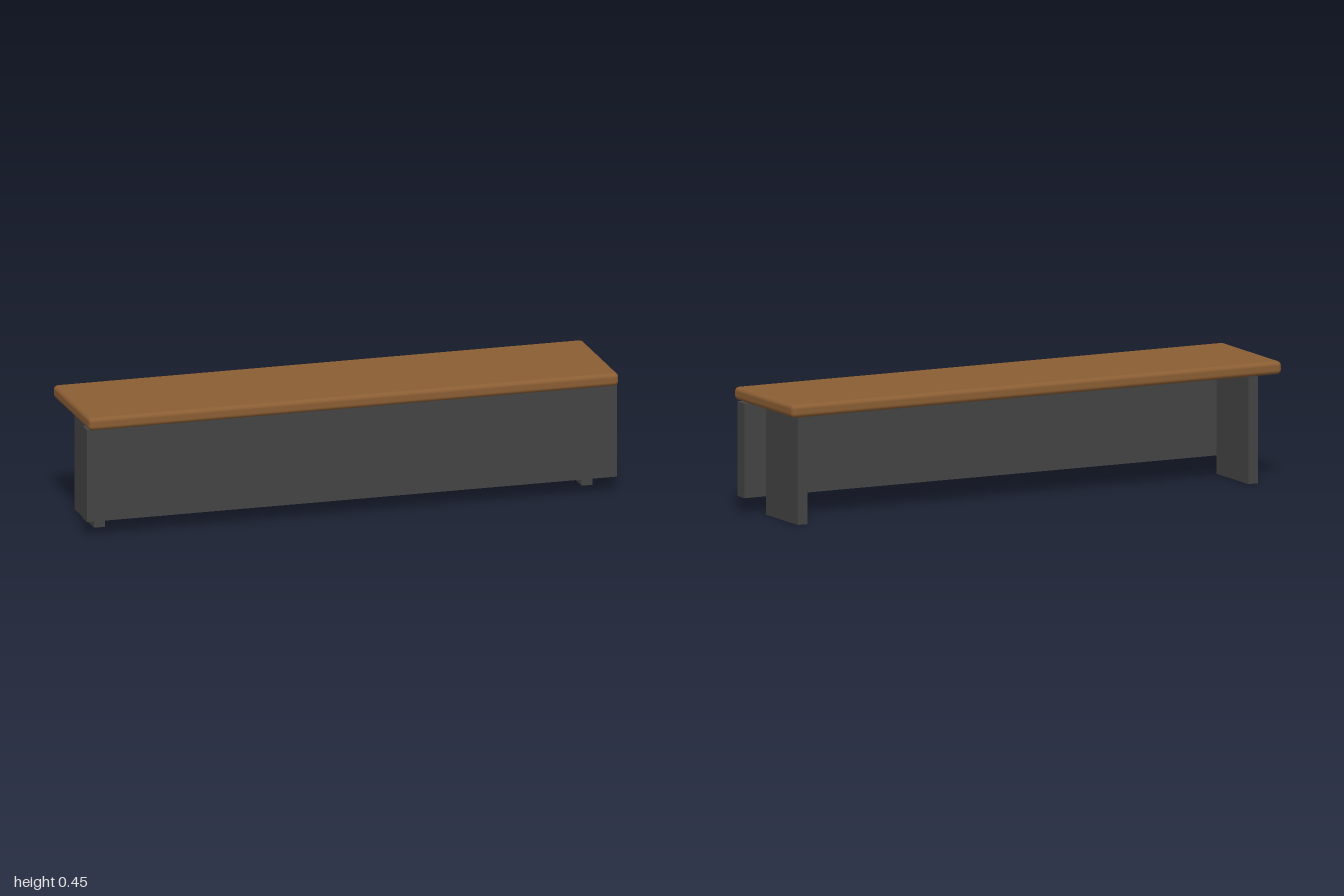
import * as THREE from 'three';
import { RoundedBoxGeometry } from 'three/addons/geometries/RoundedBoxGeometry.js';

export function createModel() {
  const group = new THREE.Group();
  group.name = 'bench';

  const wood = new THREE.MeshStandardMaterial({ color: 0x8b5e34 });
  wood.name = 'brown wood';
  const charcoal = new THREE.MeshStandardMaterial({ color: 0x444444 });
  charcoal.name = 'charcoal';

  const add = (name, geometry, material, x, y, z) => {
    const mesh = new THREE.Mesh(geometry, material);
    mesh.name = name;
    mesh.position.set(x, y, z);
    group.add(mesh);
  };

  // Seat slab with softened edges
  add('seat', new RoundedBoxGeometry(2, 0.048, 0.458, 3, 0.016), wood, 0, 0.43, 0);

  // Full-width front panel, hung just below the seat and clear of the floor
  add('frontPanel', new THREE.BoxGeometry(2, 0.347, 0.056), charcoal, 0, 0.2305, 0.172);

  // Slab legs set in from the ends
  for (const [name, side] of [['leftLeg', 1], ['rightLeg', -1]]) {
    add(name, new THREE.BoxGeometry(0.04, 0.407, 0.245), charcoal, side * 0.92, 0.2035, -0.032);
  }

  return group;
}
